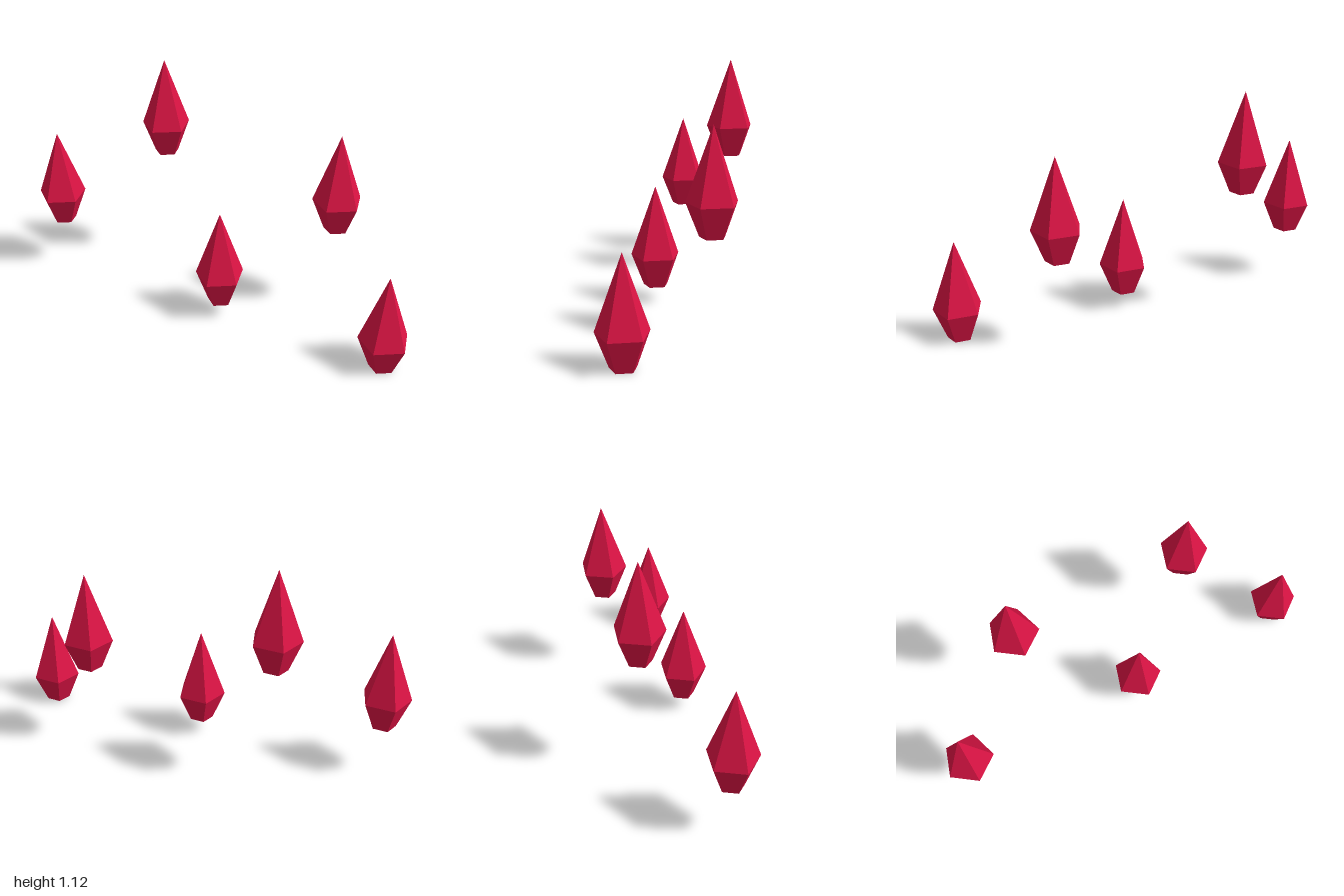
import * as THREE from 'three';

export function createModel() {
  const model = new THREE.Group();
  model.name = 'crystals';

  const crimson = new THREE.MeshStandardMaterial({ color: 0xdc1444 });
  crimson.name = 'crimson';

  // Five-sided crystal: flat base, flared foot, long pointed tip
  const profile = [[0, 0], [0.06, 0], [0.12, 0.148], [0, 0.485]]
    .map(([r, y]) => new THREE.Vector2(r, y));
  const geometry = new THREE.LatheGeometry(profile, 5).toNonIndexed();
  geometry.computeVertexNormals(); // flat facets

  // Base centre of each crystal
  const positions = [
    [-0.883, 0.265, 0.085],
    [-0.418, 0.636, -0.195],
    [0.048, 0.077, 0.14],
    [0.514, 0.449, -0.158],
    [0.889, 0, 0.178],
  ];
  positions.forEach(([x, y, z], i) => {
    const crystal = new THREE.Mesh(geometry, crimson);
    crystal.name = `crystal${i + 1}`;
    crystal.position.set(x, y, z);
    crystal.rotation.y = THREE.MathUtils.degToRad(-5);
    model.add(crystal);
  });

  return model;
}
